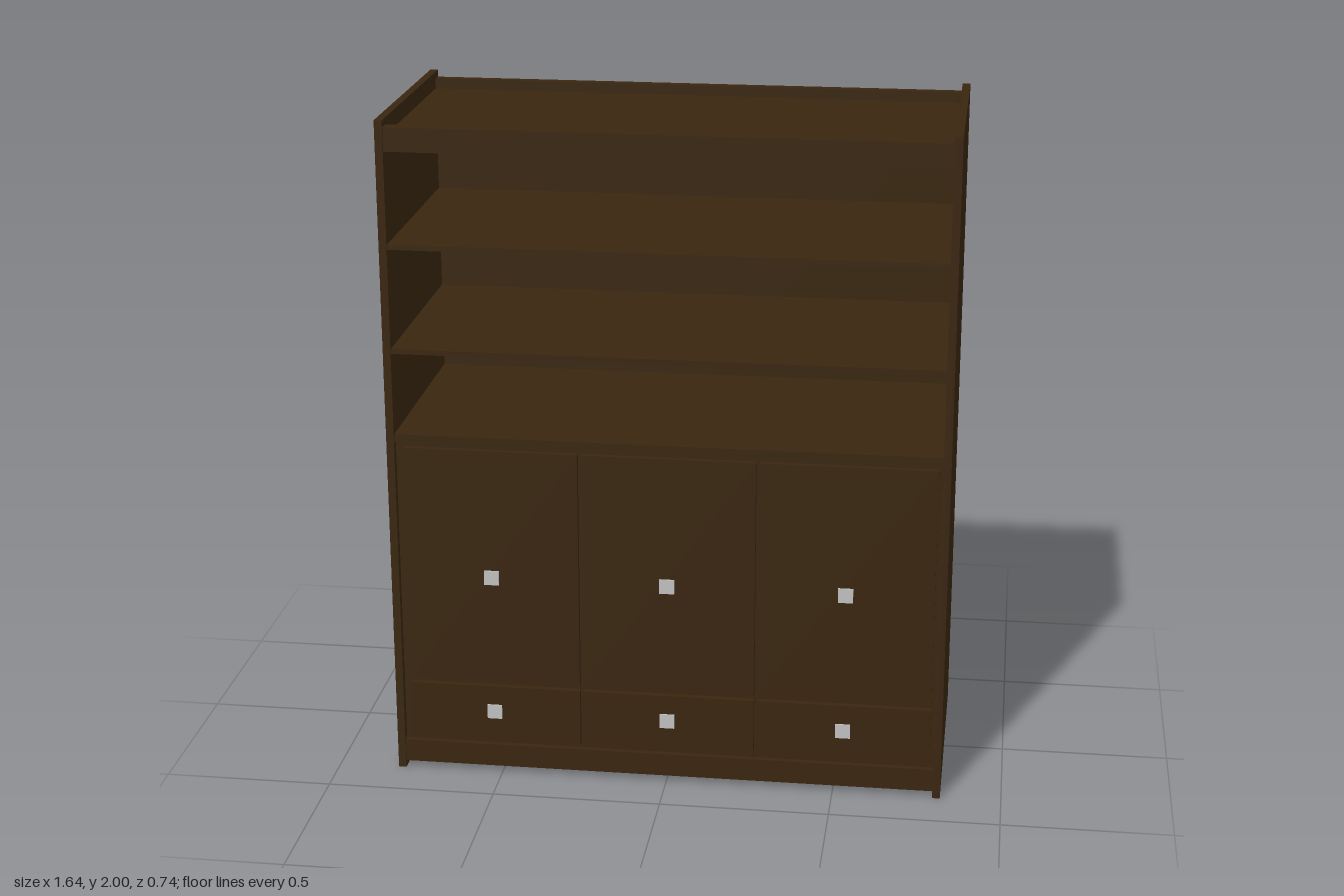
import * as THREE from 'three';

export function createModel() {
  const group = new THREE.Group();
  const wood = new THREE.MeshStandardMaterial({ color: 0x3a2610 });
  wood.name = 'dark wood';
  const metal = new THREE.MeshStandardMaterial({ color: 0xc0c0c0 });
  metal.name = 'light metal';

  // Box given by its lower and upper limits on each axis
  function box(name, [x0, x1], [y0, y1], [z0, z1], material = wood, parent = group) {
    const mesh = new THREE.Mesh(new THREE.BoxGeometry(x1 - x0, y1 - y0, z1 - z0), material);
    mesh.position.set((x0 + x1) / 2, (y0 + y1) / 2, (z0 + z1) / 2);
    mesh.name = name;
    parent.add(mesh);
    return mesh;
  }

  const inner = [-0.797, 0.797];
  const depth = [-0.33, 0.35];

  // Carcass
  box('rightSide', [-0.82, -0.797], [0, 2], [-0.367, 0.357]);
  box('leftSide', [0.797, 0.82], [0, 2], [-0.367, 0.357]);
  box('backPanel', inner, [0.02, 1.98], [-0.36, -0.33]);
  box('topPanel', inner, [1.925, 1.95], [-0.33, 0.315]);
  box('bottomPanel', inner, [0.05, 0.075], [-0.33, 0.315]);
  box('topRail', inner, [1.91, 1.98], [0.315, 0.352]);
  box('baseRail', inner, [0.02, 0.09], [0.315, 0.352]);

  // Open shelves and the cupboard top
  for (const [y0, y1] of [[1.625, 1.64], [1.315, 1.33]]) box('shelf', inner, [y0, y1], depth);
  box('cupboardTop', inner, [1.045, 1.07], depth);

  // Cupboard body behind the fronts
  box('cupboardBody', inner, [0.075, 1.045], [-0.33, 0.335]);

  // Handle: base plate, stem and square front plate
  function handle(x, y) {
    const h = new THREE.Group();
    h.name = 'handle';
    h.position.set(x, y, 0.352);
    box('handleBase', [-0.012, 0.012], [-0.012, 0.012], [0, 0.004], metal, h);
    box('handleStem', [-0.006, 0.006], [-0.006, 0.006], [0.004, 0.013], metal, h);
    box('handlePlate', [-0.022, 0.022], [-0.022, 0.022], [0.013, 0.018], metal, h);
    group.add(h);
  }

  // Three columns, each with a door above a drawer
  for (const x of [-0.516, 0.005, 0.528]) {
    const span = [x - 0.257, x + 0.257];
    box('door', span, [0.297, 1.03], [0.335, 0.352]);
    box('drawer', span, [0.103, 0.282], [0.335, 0.352]);
    handle(x, 0.64);
    handle(x, 0.207);
  }

  return group;
}
